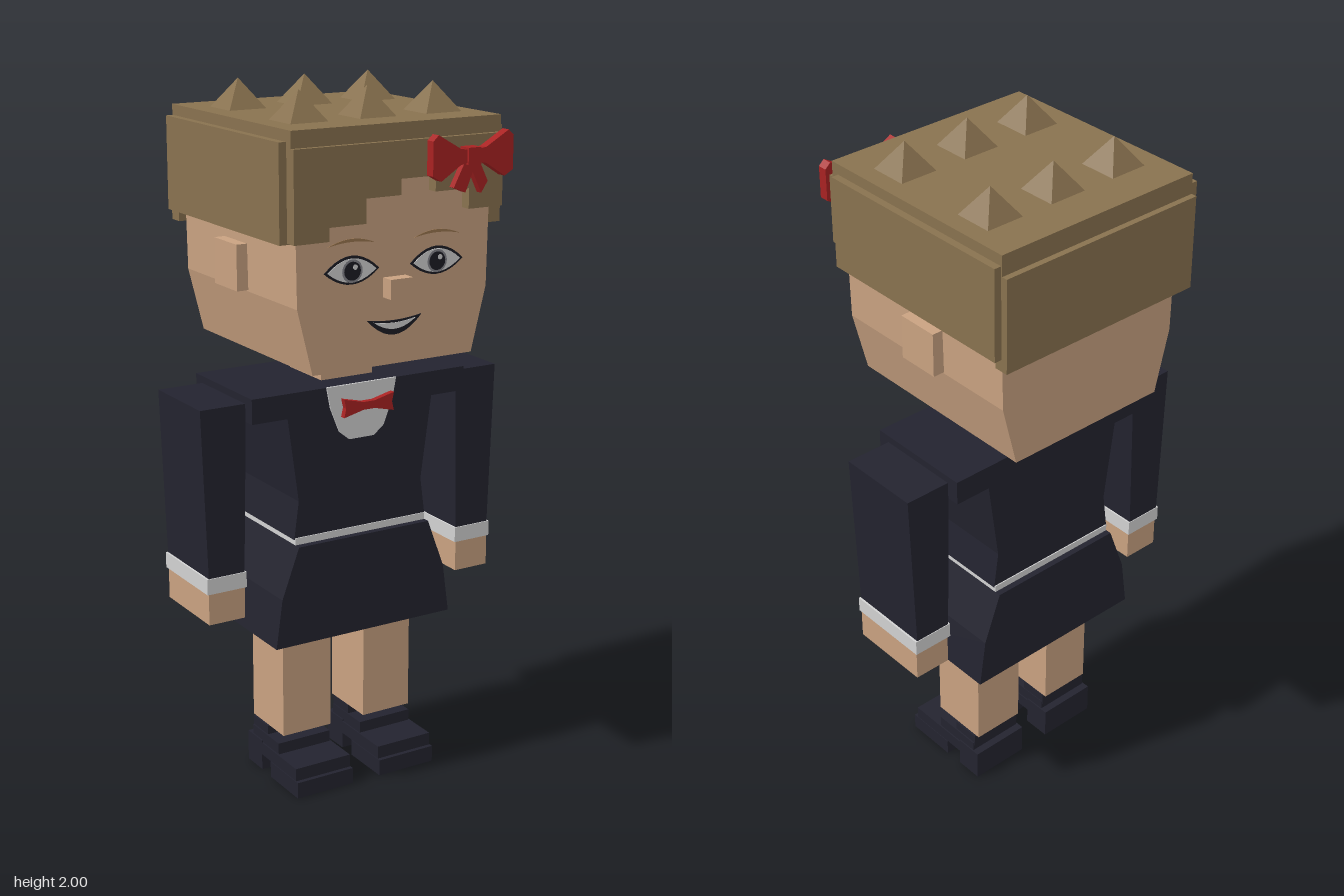
import * as THREE from 'three';

const mat = (name, color) => {
  const m = new THREE.MeshStandardMaterial({ color });
  m.name = name;
  return m;
};

export function createModel() {
  const skin = mat('skin', 0xc9a281);
  const hair = mat('hair', 0x89724f);
  const navy = mat('navy', 0x23232f);
  const white = mat('white', 0xd2d2d2);
  const red = mat('red', 0xa92222);
  const black = mat('black', 0x1c1c24);
  const grey = mat('grey', 0x85858c);
  const brow = mat('brow', 0x9a7650);

  const model = new THREE.Group();
  model.name = 'blockFigure';

  const add = (name, geometry, material) => {
    const mesh = new THREE.Mesh(geometry, material);
    mesh.name = name;
    model.add(mesh);
    return mesh;
  };
  // Box given by its limits on each axis
  const box = (name, m, x0, x1, y0, y1, z0, z1) => {
    const g = new THREE.BoxGeometry(x1 - x0, y1 - y0, z1 - z0);
    g.translate((x0 + x1) / 2, (y0 + y1) / 2, (z0 + z1) / 2);
    return add(name, g, m);
  };
  // Front outline extruded between two depths
  const slab = (name, m, pts, z0, z1) => {
    const shape = pts instanceof THREE.Shape
      ? pts : new THREE.Shape(pts.map(([x, y]) => new THREE.Vector2(x, y)));
    const g = new THREE.ExtrudeGeometry(shape, { depth: z1 - z0, bevelEnabled: false, curveSegments: 10 });
    g.translate(0, 0, z0);
    return add(name, g, m);
  };
  // Completes the right half of an outline with its mirror image
  const mirror = (pts) => [...pts, ...pts.map(([x, y]) => [-x, y]).reverse()];
  // Lens or crescent between two quadratic curves
  const lens = (cx, y, w, up, down) => {
    const s = new THREE.Shape();
    s.moveTo(cx - w, y);
    s.quadraticCurveTo(cx, y + down * 2, cx + w, y);
    s.quadraticCurveTo(cx, y + up * 2, cx - w, y);
    return s;
  };
  const disc = (cx, cy, r) => {
    const s = new THREE.Shape();
    s.absarc(cx, cy, r, 0, Math.PI * 2);
    return s;
  };

  // Head and neck
  slab('head', skin, mirror([[0.25, 1.28], [0.295, 1.46], [0.302, 1.87]]), -0.335, 0.28);
  box('neck', skin, -0.083, 0.083, 1.18, 1.29, -0.13, 0.042);
  box('nose', skin, -0.035, 0.035, 1.464, 1.517, 0.27, 0.318);

  // Hair cap, back and stepped fringe
  box('hairTop', hair, -0.32, 0.32, 1.85, 1.92, -0.36, 0.297);
  box('hairBack', hair, -0.32, 0.32, 1.597, 1.862, -0.377, -0.335);
  slab('fringe', hair, [
    [-0.32, 1.875], [-0.32, 1.634], [-0.217, 1.634], [-0.217, 1.67], [-0.106, 1.67],
    [-0.106, 1.735], [0, 1.735], [0, 1.777], [0.106, 1.777], [0.106, 1.735],
    [0.212, 1.735], [0.212, 1.68], [0.32, 1.68], [0.32, 1.875],
  ], 0.275, 0.311);
  for (const x of [-0.203, 0.005, 0.211]) {
    for (const z of [-0.193, 0.134]) {
      const g = new THREE.ConeGeometry(0.056 * Math.SQRT2, 0.08, 4).rotateY(Math.PI / 4).toNonIndexed();
      g.computeVertexNormals();
      add('hairSpike', g.translate(x, 1.96, z), hair);
    }
  }

  // Mouth
  slab('lips', black, lens(0, 1.407, 0.085, -0.008, -0.047), 0.278, 0.283);
  slab('teeth', white, lens(0, 1.4, 0.066, -0.007, -0.024), 0.279, 0.285);

  // Paired parts
  for (const s of [1, -1]) {
    const side = s > 0 ? 'left' : 'right';
    const sbox = (name, m, x0, x1, ...rest) =>
      box(side + name, m, Math.min(s * x0, s * x1), Math.max(s * x0, s * x1), ...rest);
    const flip = (pts) => pts.map(([x, y]) => [s * x, y]);

    sbox('HairSide', hair, 0.295, 0.341, 1.63, 1.89, -0.357, 0.273);
    sbox('Ear', skin, 0.28, 0.329, 1.464, 1.59, -0.106, 0.02);

    // Eye and brow
    const ex = s * 0.132, ey = 1.545;
    slab(side + 'EyeOutline', black, lens(ex, ey, 0.084, 0.04, -0.036), 0.278, 0.282);
    slab(side + 'EyeWhite', white, lens(ex, ey, 0.074, 0.033, -0.03), 0.279, 0.284);
    slab(side + 'IrisRim', grey, disc(ex, ey, 0.031), 0.28, 0.285);
    slab(side + 'Iris', black, disc(ex, ey, 0.025), 0.281, 0.286);
    slab(side + 'EyeShine', white, disc(ex + 0.008, ey + 0.01, 0.007), 0.282, 0.287);
    slab(side + 'Brow', brow, lens(ex, 1.613, 0.072, 0.016, 0.008), 0.278, 0.282);

    // Arm
    slab(side + 'Sleeve', navy, flip([[0.34, 1.17], [0.352, 0.69], [0.462, 0.69], [0.478, 1.17]]), -0.17, 0.08);
    sbox('Cuff', white, 0.347, 0.468, 0.647, 0.692, -0.172, 0.083);
    sbox('Hand', skin, 0.352, 0.463, 0.557, 0.65, -0.166, 0.08);

    // Leg and stepped shoe
    sbox('Leg', skin, 0.056, 0.214, 0.147, 0.48, -0.133, 0.045);
    sbox('ShoeSole', navy, 0.046, 0.23, 0, 0.048, -0.005, 0.153);
    sbox('ShoeToe', navy, 0.048, 0.228, 0.048, 0.086, -0.12, 0.14);
    sbox('ShoeInstep', navy, 0.052, 0.224, 0.086, 0.12, -0.12, 0.033);
    sbox('ShoeAnkle', navy, 0.054, 0.22, 0.11, 0.147, -0.122, -0.037);
    sbox('ShoeHeel', navy, 0.048, 0.228, 0, 0.092, -0.143, -0.06);
  }

  // Jacket, belt and skirt
  slab('jacket', navy, mirror([
    [0.215, 0.77], [0.2, 0.88], [0.233, 1.12], [0.342, 1.12], [0.342, 1.19],
  ]), -0.207, 0.117);
  box('belt', white, -0.213, 0.213, 0.75, 0.775, -0.21, 0.12);
  slab('skirt', navy, mirror([[0.287, 0.467], [0.267, 0.61], [0.213, 0.755]]), -0.228, 0.14);

  // Shirt front and bow tie
  slab('shirt', white, mirror([[0.04, 1.034], [0.072, 1.06], [0.1, 1.13], [0.112, 1.191]]), 0.115, 0.121);
  slab('bowTie', red, mirror([[0.018, 1.125], [0.08, 1.11], [0.074, 1.136], [0.08, 1.162], [0.018, 1.147]]), 0.143, 0.16);

  // Hair bow: wings, tails, knot and pin
  const bx = 0.184, by = 1.83;
  for (const s of [1, -1]) {
    slab('hairBowWing', red, [
      [bx, by - 0.014], [bx + s * 0.04, by - 0.022], [bx + s * 0.1, by - 0.06], [bx + s * 0.126, by - 0.045],
      [bx + s * 0.126, by + 0.045], [bx + s * 0.11, by + 0.06], [bx + s * 0.04, by + 0.02], [bx, by + 0.014],
    ], 0.341, 0.369);
  }
  slab('hairBowTail', red, [[bx - 0.02, by - 0.01], [bx - 0.057, by - 0.08], [bx - 0.02, by - 0.095], [bx + 0.012, by - 0.02]], 0.343, 0.363);
  slab('hairBowTail', red, [[bx - 0.01, by - 0.02], [bx + 0.03, by - 0.1], [bx + 0.05, by - 0.07], [bx + 0.02, by - 0.01]], 0.343, 0.363);
  box('hairBowKnot', red, bx - 0.02, bx + 0.02, by - 0.022, by + 0.022, 0.337, 0.375);
  box('hairBowPin', red, bx - 0.009, bx + 0.009, by - 0.01, by + 0.01, 0.3, 0.345);

  return model;
}
